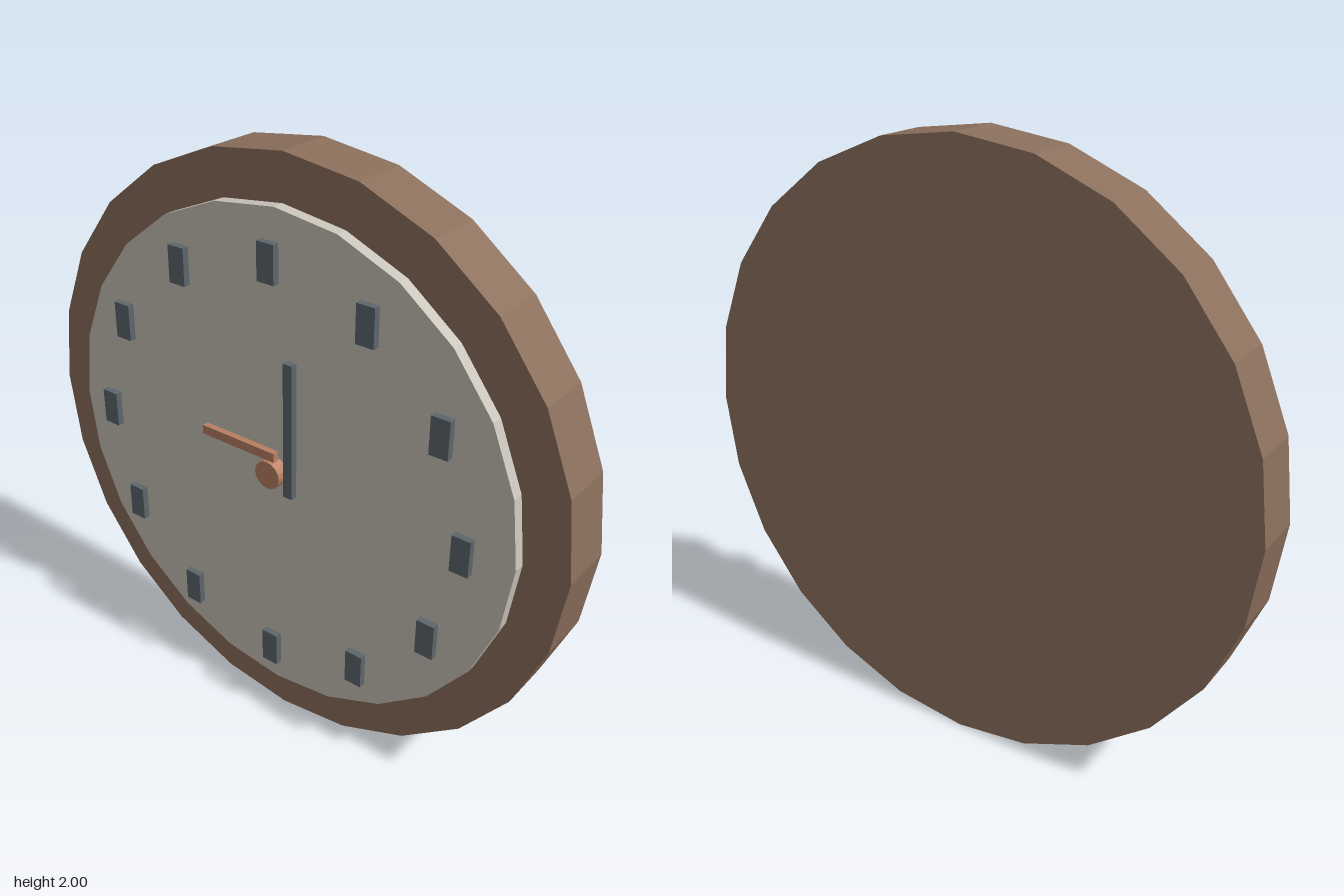
import * as THREE from 'three';

export function createModel() {
  const clock = new THREE.Group();
  clock.name = 'wallClock';

  const paint = (color) => new THREE.MeshStandardMaterial({ color, flatShading: true });
  const wood = paint(0x8b6f5c);
  const cream = paint(0xcac5bb);
  const slate = paint(0x5c666c);
  const copper = paint(0xb87f62);

  const add = (name, geometry, material, x, y, z) => {
    const mesh = new THREE.Mesh(geometry, material);
    mesh.name = name;
    mesh.position.set(x, y, z);
    clock.add(mesh);
  };

  // Disc facing the front, spanning z0 to z1
  const disc = (name, radius, z0, z1, sides, material) => {
    const geometry = new THREE.CylinderGeometry(radius, radius, z1 - z0, sides).rotateX(Math.PI / 2);
    add(name, geometry, material, 0, 1, (z0 + z1) / 2);
  };

  // Case, dial and centre hub
  disc('case', 1, -0.143, 0.042, 24, wood);
  disc('dial', 0.853, 0.03, 0.081, 24, cream);
  disc('hub', 0.048, 0.078, 0.125, 16, copper);

  // Twelve upright hour markers
  const markerShape = new THREE.BoxGeometry(0.062, 0.122, 0.023);
  for (let i = 0; i < 12; i++) {
    const a = (i / 12) * Math.PI * 2;
    add(`hourMarker${i + 1}`, markerShape, slate, 0.698 * Math.sin(a), 1.002 + 0.698 * Math.cos(a), 0.111);
  }

  // Hands
  add('minuteHand', new THREE.BoxGeometry(0.033, 0.458, 0.023), slate, 0.093, 1.188, 0.127);
  add('hourHand', new THREE.BoxGeometry(0.29, 0.031, 0.022), copper, -0.104, 1.085, 0.131);

  return clock;
}
